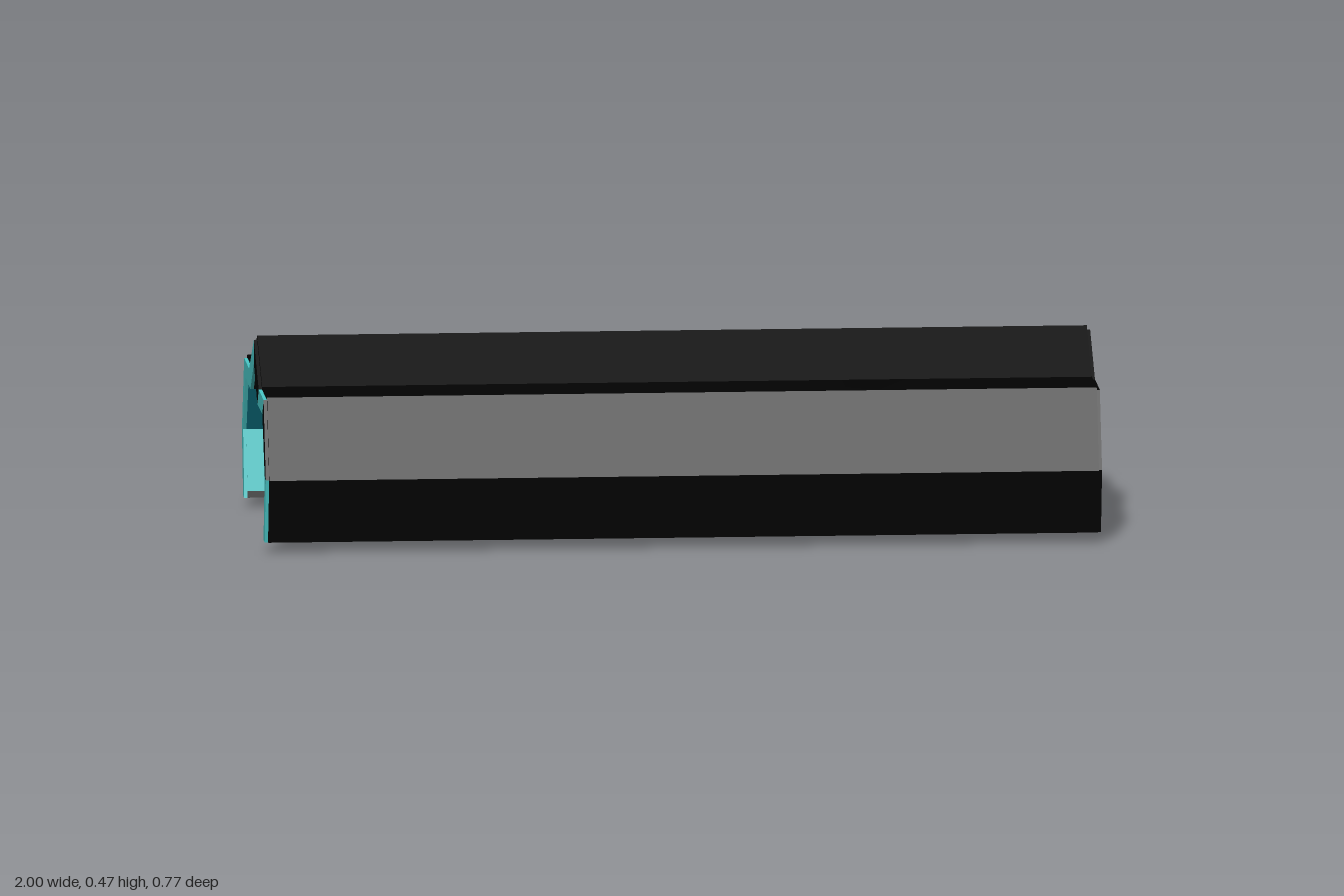
import * as THREE from 'three';

const mat = (name, color) => Object.assign(new THREE.MeshStandardMaterial({ color }), { name });

// Cross-section points [z, y], running from the front foot over the ridge to the back foot
const mirror = half => [...half, ...half.slice(0, -1).reverse().map(([z, y]) => [-z, y])];
const OUTER = mirror([[0.35, 0.025], [0.385, 0.18], [0.315, 0.37], [0.16, 0.37], [0, 0.468]]);
const INNER = mirror([[0.305, 0.025], [0.34, 0.185], [0.268, 0.323], [0.11, 0.32], [0, 0.4]]);
const lerp = THREE.MathUtils.lerp;

// One wall panel: x along the tunnel, t across the panel, w from inner (0) to outer (1) skin
function panelGeometry(i, [x0, x1], { t = [0, 1], w = [0, 1], hole } = {}) {
  const shape = new THREE.Shape([[x0, t[0]], [x1, t[0]], [x1, t[1]], [x0, t[1]]].map(p => new THREE.Vector2(...p)));
  if (hole) shape.holes.push(new THREE.Path(hole.map(p => new THREE.Vector2(...p))));
  const geo = new THREE.ExtrudeGeometry(shape, { depth: 1, bevelEnabled: false });
  const pos = geo.attributes.position;
  for (let k = 0; k < pos.count; k++) {
    const s = pos.getY(k), d = lerp(w[0], w[1], pos.getZ(k));
    const at = c => lerp(lerp(INNER[i][c], INNER[i + 1][c], s), lerp(OUTER[i][c], OUTER[i + 1][c], s), d);
    pos.setXYZ(k, pos.getX(k), at(1), at(0));
  }
  geo.computeVertexNormals();
  return geo;
}

export function createModel() {
  const model = new THREE.Group();
  model.name = 'tunnelSection';
  const black = mat('shellBlack', 0x020202);
  const teal = mat('liningTeal', 0x4ac8c8);
  const deepTeal = mat('liningDeepTeal', 0x0a7080);
  const pale = mat('ribPaleTeal', 0x97e8e4);
  const add = (name, geo, material) => {
    const mesh = new THREE.Mesh(geo, material);
    mesh.name = name;
    model.add(mesh);
    return mesh;
  };

  // Folded shell with a broken opening in the front shoulder and the back roof slope
  const holes = {
    2: [[0.395, 0.99], [0.395, 0.35], [0.45, 0.1], [0.475, 0.1], [0.545, 0.99]],
    4: [[-0.75, 0.01], [-0.65, 0.97], [-0.545, 0.73], [-0.525, 0.01]],
  };
  const names = ['frontLowerWall', 'frontUpperWall', 'frontShoulder', 'frontRoof',
    'backRoof', 'backShoulder', 'backUpperWall', 'backLowerWall'];
  names.forEach((name, i) => {
    add(name, panelGeometry(i, [-0.992, 0.992], { hole: holes[i] }), black);
    // Stepped end edges, coloured along most of one end
    add('rightEndEdge', panelGeometry(i, [0.992, 1], { w: [0, 0.85] }), black);
    add('leftEndEdge', panelGeometry(i, [-1, -0.992], { w: [0, 0.85] }), i === 1 || i === 3 ? black : teal);
  });

  // Thin lining inside the walls, with stepped ends; it is shorter along the back
  const lining = (name, i, x, t, material) => add(name, panelGeometry(i, x, { t, w: [-0.025, 0] }), material);
  lining('frontLowerLining', 0, [-0.992, 0.06], [0.1, 1], teal);
  lining('frontLowerLiningStep', 0, [0.06, 0.2], [0.6, 1], pale);
  lining('frontUpperLining', 1, [-0.992, 0.25], [0, 1], deepTeal);
  lining('frontUpperLiningStep', 1, [0.25, 0.72], [0.25, 0.8], deepTeal);
  lining('backUpperLining', 6, [-0.992, -0.2], [0, 1], deepTeal);
  lining('backLowerLining', 7, [-0.992, -0.2], [0, 0.9], teal);

  // Diagonal braces under both shoulders; one is missing at the front breach
  const brace = new THREE.Shape([[0.337, 0.19], [0.31, 0.247], [0.172, 0.322], [0.11, 0.32]]
    .map(p => new THREE.Vector2(...p)));
  const braceGeo = new THREE.ExtrudeGeometry(brace, { depth: 0.045, bevelEnabled: false });
  for (let k = 0; k < 9; k++) {
    const x = 0.965 - k * 0.2185;
    for (const side of [1, -1]) {
      if (side === 1 && k === 2) continue;
      const mesh = add(side === 1 ? 'frontBrace' : 'backBrace', braceGeo, pale);
      mesh.rotation.y = -side * Math.PI / 2;
      mesh.position.x = x + side * 0.0225;
    }
  }

  // Fallen fragments: a slab leaning on the back wall and a small block by the front wall
  const slab = new THREE.Shape([[-0.39, 0], [-0.37, 0.045], [-0.29, 0.11], [-0.3, 0.193], [-0.5, 0.193], [-0.5, 0.1], [-0.405, 0.045]]
    .map(p => new THREE.Vector2(...p)));
  const leaning = add('fallenSlab', new THREE.ExtrudeGeometry(slab, { depth: 0.038, bevelEnabled: false }), black);
  leaning.position.set(0, 0, -0.282);
  leaning.rotation.x = -0.28;
  add('fallenBlock', new THREE.BoxGeometry(0.06, 0.043, 0.05), black).position.set(0.543, 0.043, 0.28);

  return model;
}
